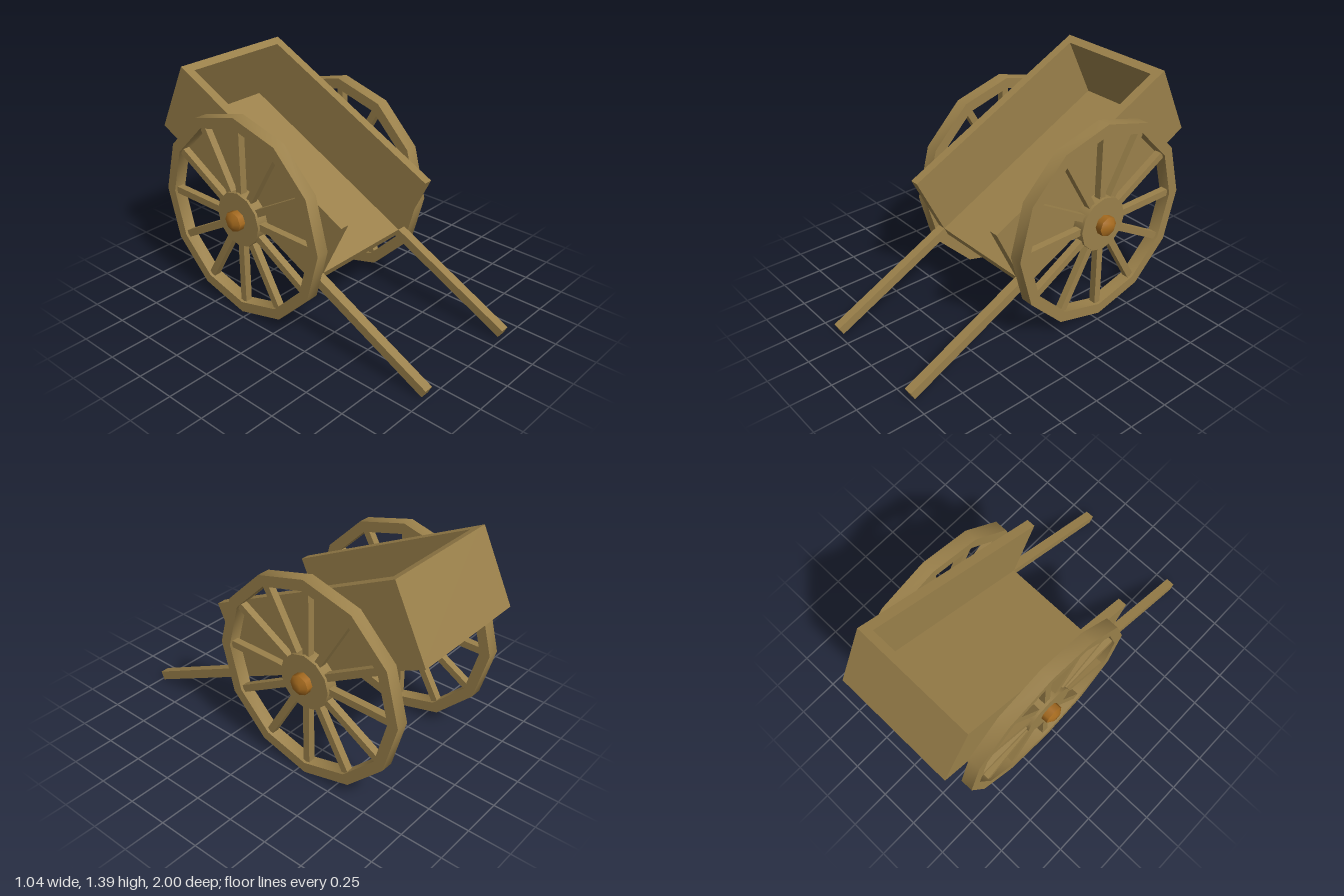
import * as THREE from 'three';
import { toCreasedNormals } from 'three/addons/utils/BufferGeometryUtils.js';

const wood = new THREE.MeshStandardMaterial({ color: 0x9a804a });
wood.name = 'wood';
const axleWood = new THREE.MeshStandardMaterial({ color: 0xa56a1e });
axleWood.name = 'axle wood';

const TILT = 0.455;      // slope of the bed and shafts
const BOARD = 0.055;     // board thickness
const HALF = 0.385;      // half width of the bed
const LENGTH = 1.354, HEIGHT = 0.46;
const RADIUS = 0.618;    // wheel radius

function add(parent, name, geometry, x = 0, y = 0, z = 0, material = wood) {
  const mesh = new THREE.Mesh(geometry, material);
  mesh.name = name;
  mesh.position.set(x, y, z);
  parent.add(mesh);
  return mesh;
}

// Bed and shafts, built level from the lower front edge and then tilted
function createBed() {
  const bed = new THREE.Group();
  bed.name = 'bed';
  const wallH = HEIGHT - BOARD;
  const wallY = BOARD + wallH / 2;
  add(bed, 'floor', new THREE.BoxGeometry(HALF * 2, BOARD, LENGTH), 0, BOARD / 2, -LENGTH / 2);
  add(bed, 'backBoard', new THREE.BoxGeometry((HALF - BOARD) * 2, wallH, BOARD), 0, wallY, -LENGTH + BOARD / 2);
  for (const side of [1, -1]) {
    const x = side * (HALF - BOARD / 2);
    const label = side > 0 ? 'left' : 'right';
    add(bed, label + 'SideBoard', new THREE.BoxGeometry(BOARD, wallH, LENGTH), x, wallY, -LENGTH / 2);
    add(bed, label + 'Shaft', new THREE.BoxGeometry(BOARD, BOARD, 0.848), x, BOARD / 2, 0.424);
  }
  bed.position.set(0, 0.383, 0.214);
  bed.rotation.x = TILT;
  return bed;
}

// Twelve-sided wheel turning about the x axis
function createWheel(name) {
  const wheel = new THREE.Group();
  wheel.name = name;
  const w = 0.0385, inner = 0.553;
  const profile = [[RADIUS, -w], [RADIUS, w], [inner, w], [inner, -w], [RADIUS, -w]]
    .map(([r, y]) => new THREE.Vector2(r, y));
  const rim = toCreasedNormals(new THREE.LatheGeometry(profile, 12), 0.7);
  add(wheel, 'rim', rim.rotateZ(Math.PI / 2));
  add(wheel, 'hub', new THREE.CylinderGeometry(0.166, 0.166, 0.074, 12).rotateZ(Math.PI / 2));
  const spoke = new THREE.BoxGeometry(0.043, 0.43, 0.043).translate(0, 0.355, 0);
  for (let i = 0; i < 12; i++) {
    add(wheel, 'spoke', spoke).rotation.x = (i * Math.PI) / 6;
  }
  return wheel;
}

export function createModel() {
  const cart = new THREE.Group();
  cart.name = 'handcart';
  cart.add(createBed());

  const running = new THREE.Group();
  running.name = 'runningGear';
  running.position.set(0, RADIUS + 0.003, -0.298);
  cart.add(running);

  // Axle with tapered ends
  const axleProfile = [[0, -0.522], [0.028, -0.522], [0.061, -0.5], [0.061, 0.5], [0.028, 0.522], [0, 0.522]]
    .map(([r, y]) => new THREE.Vector2(r, y));
  const axle = toCreasedNormals(new THREE.LatheGeometry(axleProfile, 8), 0.85);
  add(running, 'axle', axle.rotateZ(Math.PI / 2), 0, 0, 0, axleWood);

  for (const side of [1, -1]) {
    const wheel = createWheel(side > 0 ? 'leftWheel' : 'rightWheel');
    wheel.position.x = side * 0.4235;
    running.add(wheel);
  }
  return cart;
}
